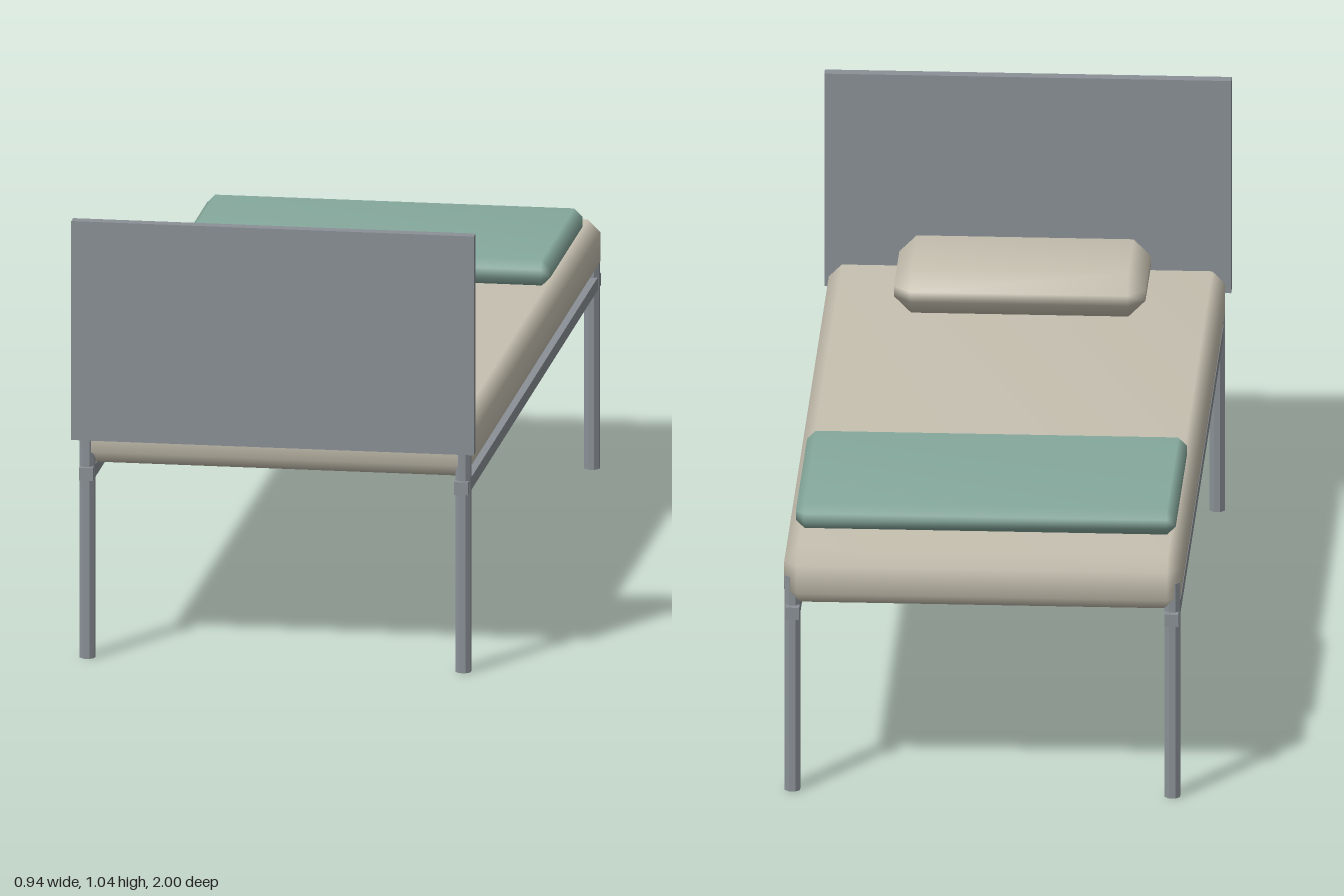
import * as THREE from 'three';
import { mergeVertices } from 'three/addons/utils/BufferGeometryUtils.js';
import { ConvexGeometry } from 'three/addons/geometries/ConvexGeometry.js';

const metal = new THREE.MeshStandardMaterial({ name: 'grey metal', color: 0x8a9096 });
const linen = new THREE.MeshStandardMaterial({ name: 'beige linen', color: 0xc6c0b0 });
const wool = new THREE.MeshStandardMaterial({ name: 'green wool', color: 0x86a99d });

// Box with every edge chamfered by c and smooth, area-weighted normals
function cushion(w, h, d, c) {
  const points = [];
  for (const sx of [-1, 1]) for (const sy of [-1, 1]) for (const sz of [-1, 1]) {
    const [x, y, z] = [w / 2, h / 2, d / 2];
    points.push(new THREE.Vector3(sx * x, sy * (y - c), sz * (z - c)));
    points.push(new THREE.Vector3(sx * (x - c), sy * y, sz * (z - c)));
    points.push(new THREE.Vector3(sx * (x - c), sy * (y - c), sz * z));
  }
  const hull = new ConvexGeometry(points);
  hull.deleteAttribute('normal');
  const geometry = mergeVertices(hull);
  geometry.computeVertexNormals();
  return geometry;
}

export function createModel() {
  const bed = new THREE.Group();
  bed.name = 'bed';
  const add = (name, geometry, material, x, y, z) => {
    const mesh = new THREE.Mesh(geometry, material);
    mesh.name = name;
    mesh.position.set(x, y, z);
    bed.add(mesh);
  };

  // Bedding
  add('mattress', cushion(0.914, 0.128, 1.972, 0.03), linen, 0, 0.525, -0.014);
  add('pillow', cushion(0.58, 0.105, 0.312, 0.04), linen, 0, 0.641, 0.745);
  add('blanket', cushion(0.876, 0.062, 0.522, 0.02), wool, 0, 0.62, -0.585);

  // Frame
  add('headboard', new THREE.BoxGeometry(0.938, 0.52, 0.028), metal, 0, 0.785, 0.986);
  const leg = new THREE.CylinderGeometry(0.019, 0.019, 0.526, 8).rotateY(Math.PI / 8).toNonIndexed();
  leg.computeVertexNormals();
  const rail = new THREE.BoxGeometry(0.032, 0.03, 1.984);
  for (const [side, s] of [['left', 1], ['right', -1]]) {
    add(side + 'Rail', rail, metal, s * 0.437, 0.441, -0.007);
    add(side + 'HeadLeg', leg, metal, s * 0.438, 0.263, 0.957);
    add(side + 'FootLeg', leg, metal, s * 0.438, 0.263, -0.966);
  }
  return bed;
}
